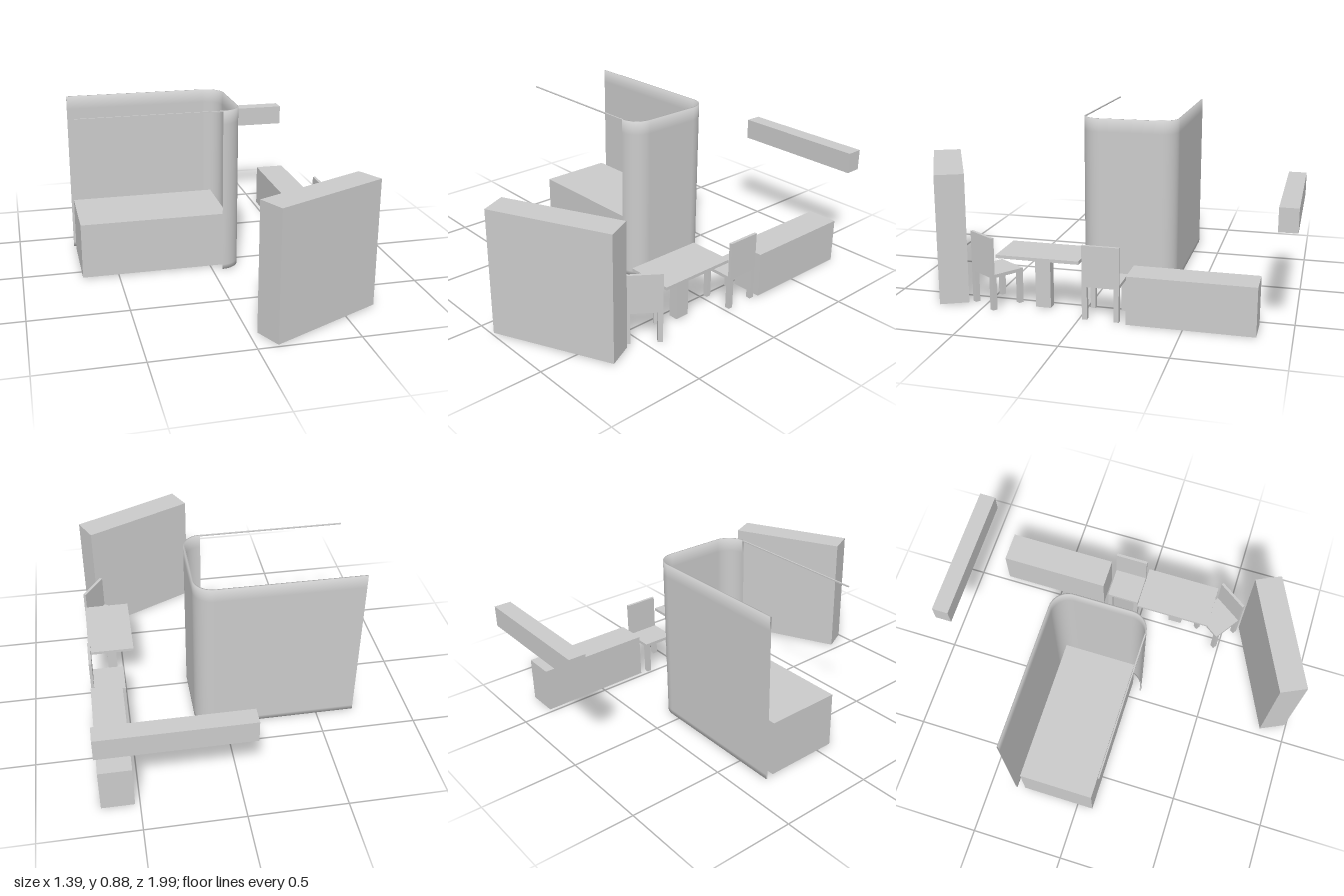
import * as THREE from 'three';

const grey = new THREE.MeshStandardMaterial({ color: 0xcccccc });
const greyBoth = new THREE.MeshStandardMaterial({ color: 0xcccccc, side: THREE.DoubleSide });

// Box given by its extents along each axis
function box(name, [x0, x1], [y0, y1], [z0, z1]) {
  const mesh = new THREE.Mesh(new THREE.BoxGeometry(x1 - x0, y1 - y0, z1 - z0), grey);
  mesh.position.set((x0 + x1) / 2, (y0 + y1) / 2, (z0 + z1) / 2);
  mesh.name = name;
  return mesh;
}

// Chair with its back on the local +x side
function chair(name, x, z, turn) {
  const g = new THREE.Group();
  const h = 0.09, t = 0.025;
  g.add(box('seat', [-h, h], [0.168, 0.185], [-h, h]));
  g.add(box('backrest', [h - 0.015, h], [0.185, 0.37], [-h, h]));
  for (const sx of [-1, 1]) for (const sz of [-1, 1]) {
    const span = s => (s > 0 ? [h - t, h] : [-h, -h + t]);
    g.add(box('chairLeg', span(sx), [0.005, 0.168], span(sz)));
  }
  g.position.set(x, 0, z);
  g.rotation.y = turn;
  g.name = name;
  return g;
}

// Thin curtain swept round the bed: back wall, end wall and both rounded corners
function curtain() {
  const radius = 0.1, thick = 0.007, cx = 0.053, zBack = -0.26, zFront = 0.043, steps = 12;
  const path = [[-0.7, zBack, -Math.PI / 2]]; // centre x, centre z, outward angle
  for (let i = 0; i <= steps; i++) path.push([cx, zBack, (i / steps - 1) * Math.PI / 2]);
  for (let i = 0; i <= steps; i++) path.push([cx, zFront, (i / steps) * Math.PI / 2]);

  // Section rows: height, side (1 outer, -1 inner), upward tilt of the normal for soft rims
  const outer = [[0.005, 1, -1], [0.03, 1, 0], [0.81, 1, 0], [0.88, 1, 0.8]];
  const inner = outer.map(([y, , tilt]) => [y, -1, tilt]).reverse();
  const rows = [...outer, ...inner];
  const pos = [], nor = [], idx = [], n = rows.length;
  path.forEach(([px, pz, a], i) => {
    const c = Math.cos(a), s = Math.sin(a);
    rows.forEach(([y, side, tilt], j) => {
      const r = side > 0 ? radius : radius - thick;
      pos.push(px + c * r, y, pz + s * r);
      nor.push(...new THREE.Vector3(c * side, tilt, s * side).normalize().toArray());
      if (i === path.length - 1) return;
      const k = i * n + j, up = i * n + (j + 1) % n;
      idx.push(k, up, k + n, up, up + n, k + n);
    });
  });
  const geo = new THREE.BufferGeometry();
  geo.setAttribute('position', new THREE.Float32BufferAttribute(pos, 3));
  geo.setAttribute('normal', new THREE.Float32BufferAttribute(nor, 3));
  geo.setIndex(idx);
  const mesh = new THREE.Mesh(geo, greyBoth);
  mesh.name = 'curtain';
  return mesh;
}

export function createModel() {
  const model = new THREE.Group();
  model.name = 'furnishedRoom';

  // Bed with its curtain and the bare front rail
  model.add(box('bed', [-0.69, 0.09], [0.005, 0.3], [-0.31, 0.085]));
  model.add(curtain());
  model.add(box('curtainRail', [-0.7, 0.053], [0.874, 0.88], [0.136, 0.143]));

  // Wall shelf and low cabinet
  model.add(box('wallShelf', [-0.04, 0.693], [0.502, 0.614], [-1, -0.912]));
  model.add(box('lowCabinet', [0.525, 0.69], [0, 0.238], [-0.838, -0.232]));

  // Table on one pedestal
  const table = new THREE.Group();
  table.name = 'table';
  table.add(box('tableTop', [0.443, 0.685], [0.274, 0.29], [-0.003, 0.41]));
  table.add(box('pedestal', [0.535, 0.585], [0.005, 0.274], [0.17, 0.247]));
  model.add(table);

  // Two chairs
  model.add(chair('backChair', 0.597, -0.108, 0));
  model.add(chair('frontChair', 0.5625, 0.453, -0.605));

  // Tall wardrobe, turned towards the room
  const wardrobe = box('wardrobe', [-0.318, 0.318], [0.005, 0.66], [-0.072, 0.072]);
  wardrobe.position.x = 0.356;
  wardrobe.position.z = 0.79;
  wardrobe.rotation.y = 0.445;
  model.add(wardrobe);

  return model;
}
